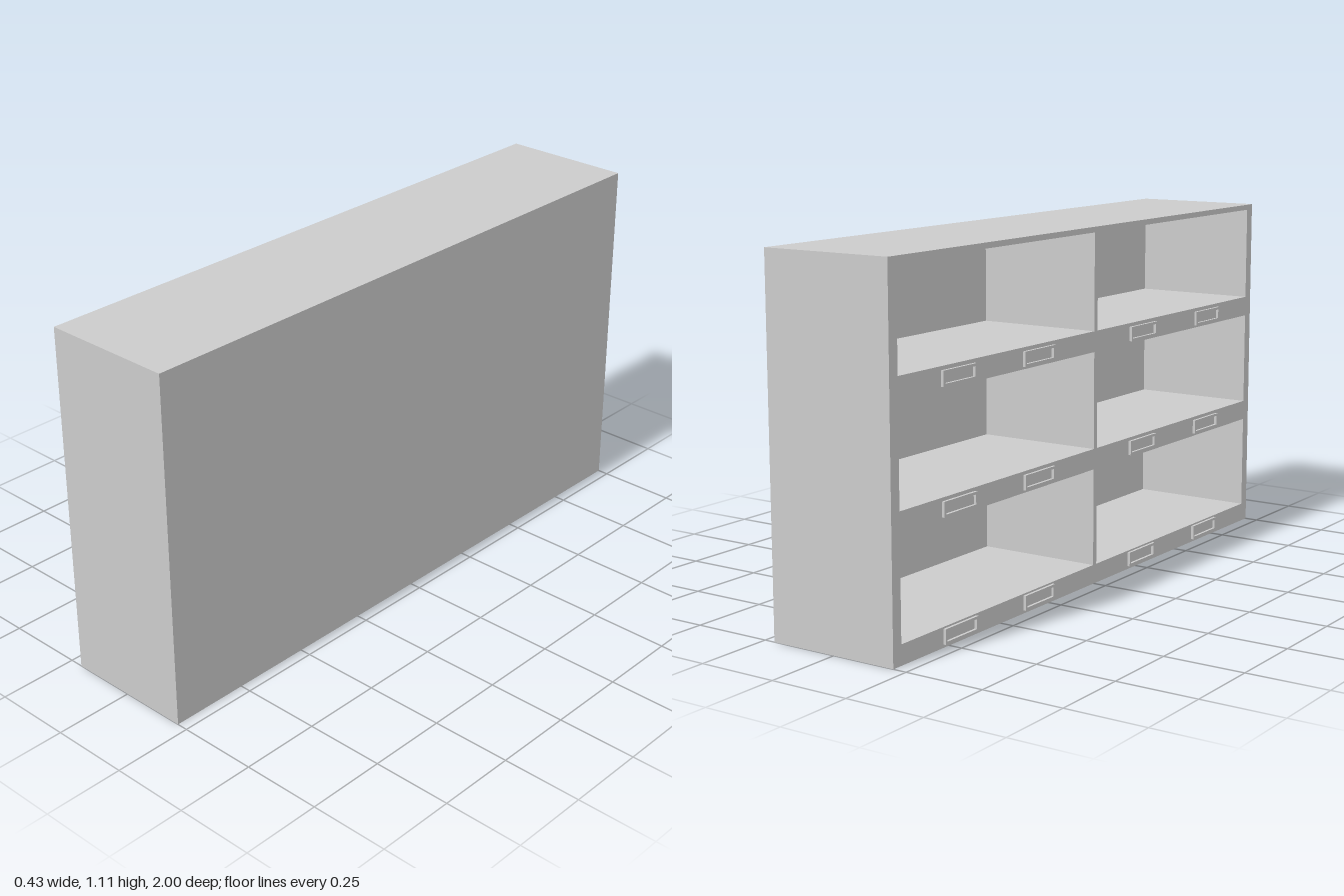
import * as THREE from 'three';

const HEIGHT = 1.107, BACK_X = 0.2155, FACE_X = -0.207;
const BACK_THICK = 0.02, HOLDER_DEPTH = 0.0085;

const material = new THREE.MeshStandardMaterial({ color: 0xcccccc, flatShading: true });

// Adds a rectangle to a Shape or Path
function rect(path, x0, y0, x1, y1) {
  path.moveTo(x0, y0);
  path.lineTo(x1, y0);
  path.lineTo(x1, y1);
  path.lineTo(x0, y1);
  path.closePath();
  return path;
}

// Extrudes a (z, y) outline along -x, starting at startX
function extrudeToFace(shape, depth, startX, name) {
  const geometry = new THREE.ExtrudeGeometry(shape, { depth, bevelEnabled: false });
  geometry.rotateY(-Math.PI / 2);
  const mesh = new THREE.Mesh(geometry, material);
  mesh.position.x = startX;
  mesh.name = name;
  return mesh;
}

export function createModel() {
  const group = new THREE.Group();
  group.name = 'shelfUnit';

  // Carcass: outer box pierced by two columns of three compartments
  const outline = rect(new THREE.Shape(), -1, 0, 1, HEIGHT);
  const rows = [[0.06, 0.363], [0.427, 0.727], [0.791, 1.09]];
  const columns = [[-0.964, -0.004], [0.014, 0.966]];
  for (const [y0, y1] of rows) {
    for (const [z0, z1] of columns) {
      outline.holes.push(rect(new THREE.Path(), z0, y0, z1, y1));
    }
  }
  const innerX = BACK_X - BACK_THICK;
  group.add(extrudeToFace(outline, innerX - FACE_X, innerX, 'carcass'));

  // Closed back panel
  const back = new THREE.Mesh(new THREE.BoxGeometry(BACK_THICK, HEIGHT, 2), material);
  back.position.set(BACK_X - BACK_THICK / 2, HEIGHT / 2, 0);
  back.name = 'backPanel';
  group.add(back);

  // Label holders: small rectangular frames, four on each shelf edge
  const w = 0.0775, h = 0.0225, border = 0.008;
  const frame = rect(new THREE.Shape(), -w, -h, w, h);
  frame.holes.push(rect(new THREE.Path(), -w + border, -h + border, w - border, h - border));
  for (const y of [0.032, 0.394, 0.757]) {
    for (const z of [-0.699, -0.307, 0.278, 0.688]) {
      const holder = extrudeToFace(frame, HOLDER_DEPTH, FACE_X, 'labelHolder');
      holder.position.y = y;
      holder.position.z = z;
      group.add(holder);
    }
  }
  return group;
}
